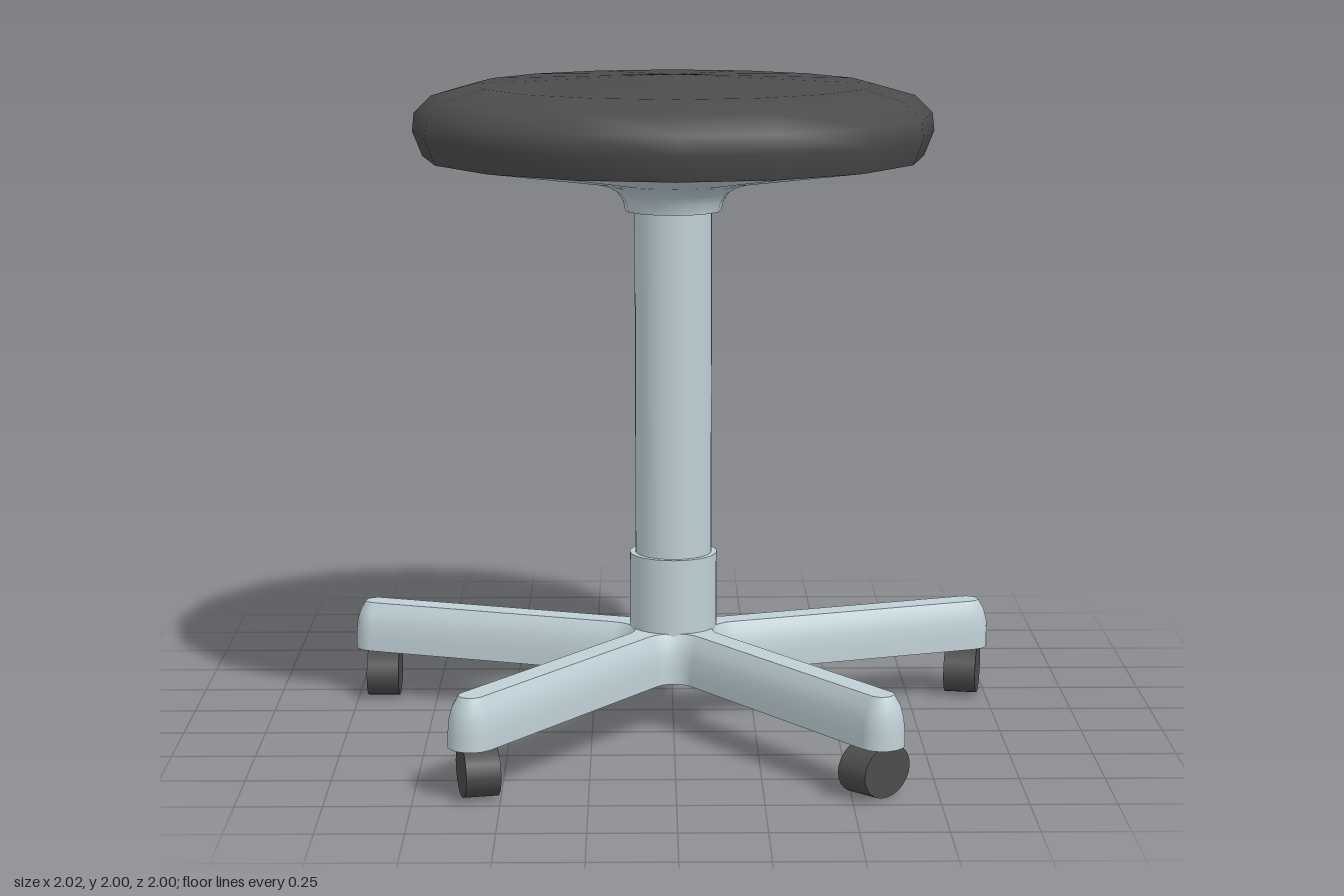
import * as THREE from 'three';

const metal = new THREE.MeshStandardMaterial({ color: 0xbfd0d6 });
const dark = new THREE.MeshStandardMaterial({ color: 0x4c4c4c });

function add(parent, name, geometry, material) {
  const mesh = new THREE.Mesh(geometry, material);
  mesh.name = name;
  parent.add(mesh);
  return mesh;
}

function lathe(points, sides) {
  return new THREE.LatheGeometry(points.map(([r, y]) => new THREE.Vector2(r, y)), sides);
}

// Five-armed star outline: round arm tips, filleted valleys; w is the arm's half width
function starOutline(w) {
  const REACH = 1.02, VALLEY = 0.23, STEPS = 8;
  const fillet = VALLEY * Math.sin(Math.PI / 5) - w;
  const dir = (t) => [Math.sin(t), Math.cos(t)];
  const points = [];
  const arc = (at, dist, radius, from, to) => {
    const c = dir(at);
    for (let i = 0; i <= STEPS; i++) {
      const d = dir(from + ((to - from) * i) / STEPS);
      points.push([c[0] * dist + d[0] * radius, c[1] * dist + d[1] * radius]);
    }
  };
  for (let k = 0; k < 5; k++) {
    const a = Math.PI + (k * Math.PI * 2) / 5;
    arc(a, REACH, w, a - Math.PI / 2, a + Math.PI / 2);
    arc(a + Math.PI / 5, VALLEY, fillet, a + Math.PI * 1.5, a + Math.PI * 0.9);
  }
  return points;
}

// Star base lofted through narrowing outlines, with flat top and bottom
function starBase() {
  const levels = [[0.155, 0.071], [0.2, 0.07], [0.24, 0.066], [0.275, 0.056], [0.305, 0.038]];
  const position = [], index = [];
  const ring = ([y, w]) => {
    const start = position.length / 3;
    for (const [x, z] of starOutline(w)) position.push(x, y, z);
    return start;
  };
  const n = starOutline(0.05).length;
  const starts = levels.map(ring);
  for (let i = 0; i < starts.length - 1; i++) {
    for (let j = 0; j < n; j++) {
      const k = (j + 1) % n, lo = starts[i], hi = starts[i + 1];
      index.push(lo + j, lo + k, hi + k, lo + j, hi + k, hi + j);
    }
  }
  for (const [level, up] of [[levels[0], false], [levels[levels.length - 1], true]]) {
    const s = ring(level);
    const centre = position.length / 3;
    position.push(0, level[0], 0);
    for (let j = 0; j < n; j++) {
      const k = (j + 1) % n;
      if (up) index.push(centre, s + j, s + k);
      else index.push(centre, s + k, s + j);
    }
  }
  const geometry = new THREE.BufferGeometry();
  geometry.setAttribute('position', new THREE.Float32BufferAttribute(position, 3));
  geometry.setIndex(index);
  geometry.computeVertexNormals();
  return geometry;
}

export function createModel() {
  const stool = new THREE.Group();
  stool.name = 'stool';

  // Everything on the central axis is slightly narrower in x
  const body = new THREE.Group();
  body.name = 'body';
  body.position.z = 0.1;
  body.scale.x = 0.97;
  stool.add(body);

  add(body, 'base', starBase(), metal);

  // Column and its lower sleeve
  const sleeve = add(body, 'sleeve', new THREE.CylinderGeometry(0.138, 0.138, 0.24, 32), metal);
  sleeve.position.y = 0.415;
  const column = add(body, 'column', new THREE.CylinderGeometry(0.121, 0.121, 1.12, 32), metal);
  column.position.y = 1.08;

  // Seat: flared metal pan with a collar, and a faceted round cushion
  add(body, 'collar', lathe([[0.11, 1.59], [0.15, 1.59]], 16), metal);
  add(body, 'seatPan', lathe([
    [0.15, 1.59], [0.157, 1.62], [0.175, 1.645], [0.21, 1.665], [0.27, 1.682], [0.78, 1.755],
  ], 16), metal);
  add(body, 'cushion', lathe([
    [0.78, 1.755], [0.811, 1.83], [0.805, 1.885], [0.75, 1.937], [0.62, 1.972], [0, 2.0],
  ], 16), dark);

  // Casters: oval wheels, each swivelled its own way [x, z, swivel in degrees]
  const wheel = new THREE.CylinderGeometry(1, 1, 0.1, 24);
  wheel.rotateZ(Math.PI / 2);
  wheel.scale(1, 0.077, 0.1);
  const casters = [[0, -0.895, 10], [-0.92, -0.205, 0], [0.93, -0.22, 11], [-0.565, 0.893, -12], [0.565, 0.895, 44]];
  for (const [x, z, swivel] of casters) {
    const caster = add(stool, 'caster', wheel, dark);
    caster.position.set(x, 0.078, z);
    caster.rotation.y = -THREE.MathUtils.degToRad(swivel);
  }
  return stool;
}
